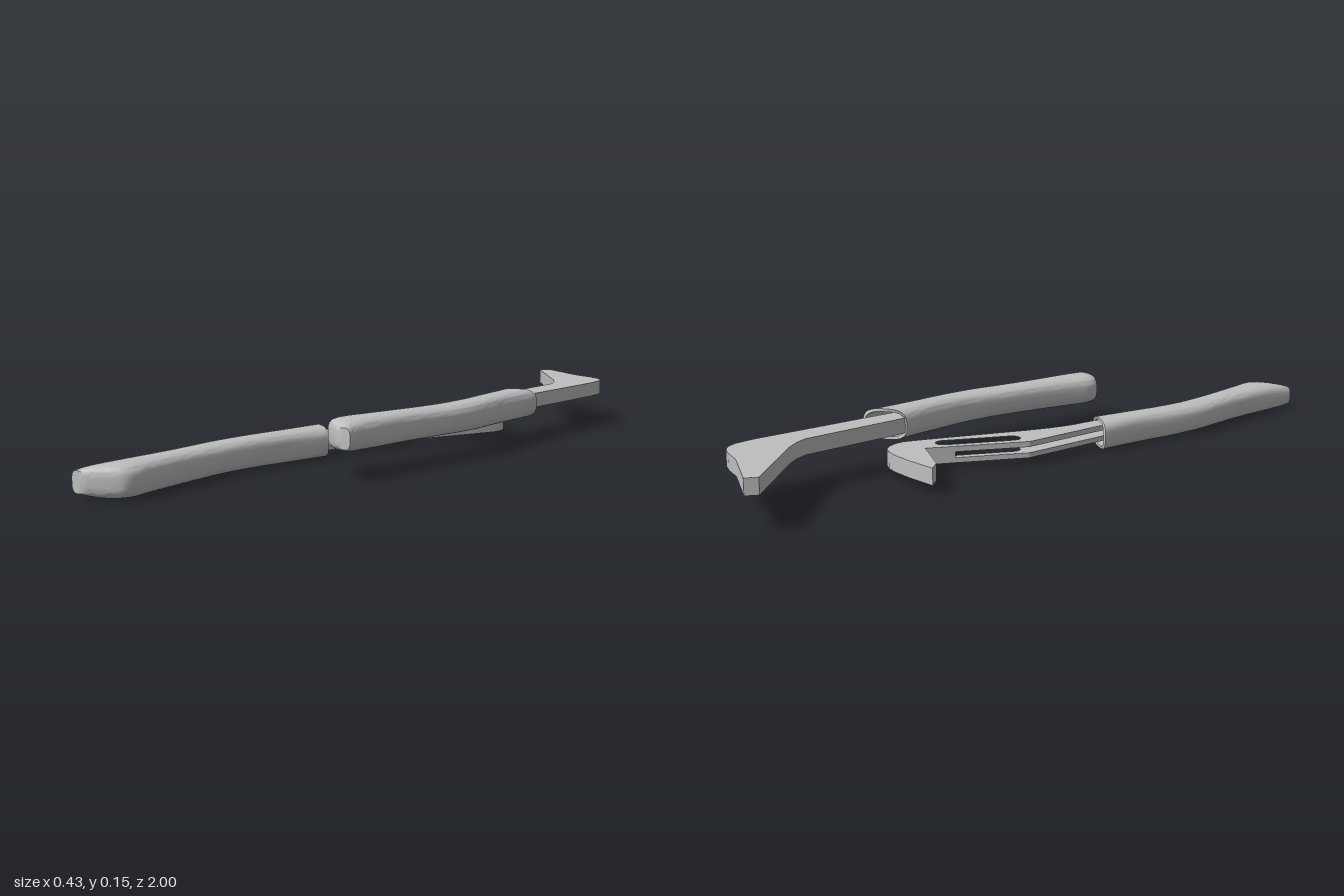
import * as THREE from 'three';
import { toCreasedNormals } from 'three/addons/utils/BufferGeometryUtils.js';

const grey = new THREE.MeshStandardMaterial({ color: 0xbfbfbf });
grey.name = 'plain grey';

// Handle stations: left x, left z, right x, right z, half height
const stations = [
  [0.075, -0.337, 0.185, -0.4, 0.042],
  [0.098, -0.21, 0.19, -0.24, 0.042],
  [0.108, -0.1, 0.205, -0.12, 0.041],
  [0.106, 0, 0.21, 0, 0.04],
  [0.1, 0.08, 0.2, 0.085, 0.04],
  [0.087, 0.19, 0.187, 0.2, 0.041],
  [0.07, 0.29, 0.183, 0.31, 0.042],
  [0.058, 0.355, 0.183, 0.37, 0.042],
  [0.066, 0.388, 0.185, 0.405, 0.04],
  [0.105, 0.418, 0.188, 0.43, 0.035],
  [0.148, 0.445, 0.19, 0.445, 0.028],
];

// Shrink a ring towards its middle, by a wall thickness or to a point
function inset([lx, lz, rx, rz, h], t) {
  return [lx + t, lz, rx - t, rz, h - t];
}
function collapse([lx, lz, rx, rz]) {
  const x = (lx + rx) / 2, z = (lz + rz) / 2;
  return [x, z, x, z, 0];
}

// Smooth grip with a hollow, slanted mouth and a flat butt
function handle(side, dx, y, dz) {
  const left = new THREE.CatmullRomCurve3(stations.map(s => new THREE.Vector3(s[0], s[4], s[1])));
  const right = new THREE.CatmullRomCurve3(stations.map(s => new THREE.Vector3(s[2], 0, s[3])));
  const outer = [];
  const steps = 40;
  for (let i = 0; i <= steps; i++) {
    const l = left.getPoint(i / steps), r = right.getPoint(i / steps);
    outer.push([l.x, l.z, r.x, r.z, l.y]);
  }
  const floor = inset(outer[3], 0.008);
  const rings = [collapse(floor), floor, inset(outer[0], 0.008), ...outer, collapse(outer[steps])];

  const n = 32, pos = [], index = [];
  const round = v => Math.sign(v) * Math.pow(Math.abs(v), 0.65);
  for (const [lx, lz, rx, rz, h] of rings) {
    for (let j = 0; j < n; j++) {
      const a = side * j / n * Math.PI * 2;
      const u = (round(Math.cos(a)) + 1) / 2;
      pos.push(side * (lx + (rx - lx) * u) + dx, y + h * round(Math.sin(a)) * side * side, lz + (rz - lz) * u + dz);
    }
  }
  for (let i = 0; i < rings.length - 1; i++) {
    for (let j = 0; j < n; j++) {
      const k = (j + 1) % n;
      const a = i * n + j, b = i * n + k, c = a + n, d = b + n;
      // Reversed angle on the mirrored side keeps the faces outward
      if (i > 0) index.push(a, b, c);
      if (i < rings.length - 2) index.push(b, d, c);
      if (i === 0) { index.splice(-3); index.push(a, d, c); }
    }
  }
  const g = new THREE.BufferGeometry();
  g.setAttribute('position', new THREE.Float32BufferAttribute(pos, 3));
  g.setIndex(index);
  return toCreasedNormals(g, 0.7);
}

// Flat plate from an outline in x and z
const outline = pts => pts.map(([x, z]) => new THREE.Vector2(x, -z));
function plate(pts, y0, y1, hole) {
  const shape = new THREE.Shape(outline(pts));
  if (hole) shape.holes.push(new THREE.Path(outline(hole)));
  const g = new THREE.ExtrudeGeometry(shape, { depth: y1 - y0, bevelEnabled: false });
  g.rotateX(-Math.PI / 2);
  g.translate(0, y0, 0);
  return g;
}

function arc(cx, cz, r, start, end, n = 10) {
  const out = [];
  for (let i = 0; i <= n; i++) {
    const a = start + (end - start) * i / n;
    out.push([cx + r * Math.cos(a), cz + r * Math.sin(a)]);
  }
  return out;
}

function add(parent, name, geometry) {
  const mesh = new THREE.Mesh(geometry, grey);
  mesh.name = name;
  parent.add(mesh);
}

export function createModel() {
  const model = new THREE.Group();
  model.name = 'pliersHalves';

  // Long half: plain hooked jaw
  const longHalf = new THREE.Group();
  longHalf.name = 'longHalf';
  add(longHalf, 'longJaw', plate([
    [-0.16, -1], [0, -0.918], [0.06, -0.9], [0.1, -0.882], [0.125, -0.858], [0.138, -0.83],
    [0.146, -0.775], [0.15, -0.37], [0.15, -0.26], [0.1, -0.26], [0.086, -0.33], [0.075, -0.35],
    [0.06, -0.675], [0.042, -0.715], [0.013, -0.757], [-0.178, -0.97],
  ], 0.091, 0.133));
  add(longHalf, 'longHandle', handle(1, 0, 0.111, 0));
  model.add(longHalf);

  // Short half: hooked jaw whose shank is a slotted fork
  const shortHalf = new THREE.Group();
  shortHalf.name = 'shortHalf';
  const hook = [
    [-0.193, -0.473], [-0.09, -0.467], [-0.024, -0.458], [0.015, -0.447], [0.045, -0.43],
    [0.065, -0.405], [0.077, -0.375], [0.078, -0.345], [0.055, -0.28],
  ];
  const hookInside = [[-0.019, -0.352], [-0.16, -0.433]];
  const shank = [[-0.05, -0.013], [-0.073, 0.055], [-0.087, 0.12], [-0.095, 0.26], [-0.15, 0.26], [-0.152, -0.1]];
  const tilt = Math.atan2(0.167, -0.085);
  const slot = [
    ...arc(-0.005, -0.275, 0.024, tilt + Math.PI / 2, tilt + Math.PI * 1.5),
    ...arc(-0.09, -0.108, 0.024, tilt - Math.PI / 2, tilt + Math.PI / 2),
  ];
  add(shortHalf, 'lowerForkPlate', plate([...hook, ...shank, ...hookInside], 0.023, 0.037, slot));
  add(shortHalf, 'upperForkPlate', plate([...hook, ...shank, ...hookInside], 0.053, 0.068, slot));
  add(shortHalf, 'jawCore', plate(
    [...hook, ...arc(-0.005, -0.28, 0.024, 0, -Math.PI), [-0.057, -0.28], ...hookInside], 0.037, 0.053));
  add(shortHalf, 'shortHandle', handle(-1, -0.006, 0.044, 0.555));
  model.add(shortHalf);

  return model;
}
